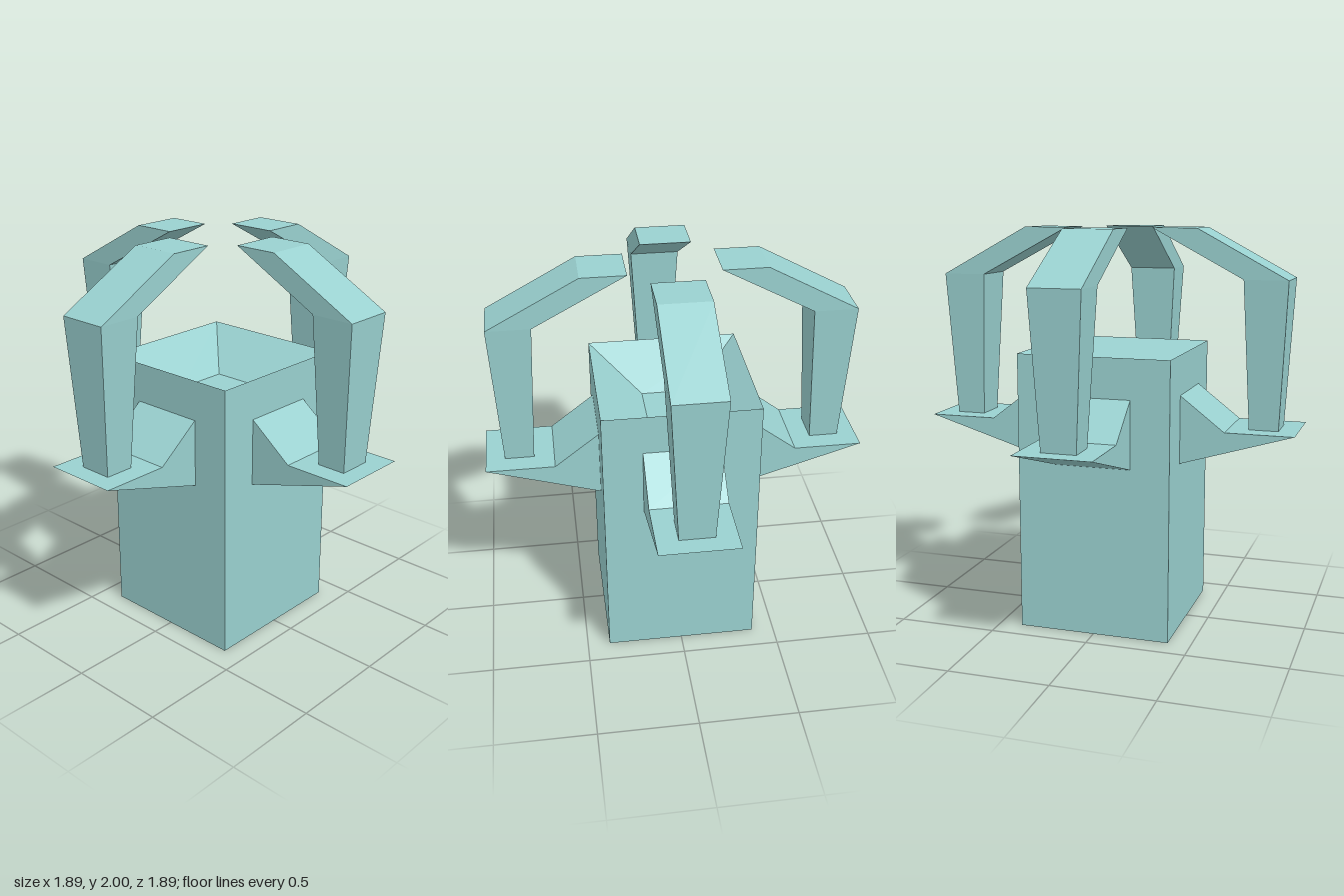
import * as THREE from 'three';

const material = new THREE.MeshStandardMaterial({ color: 0x99d0cf, flatShading: true });

// Closed loft through horizontal rectangles [y, xMin, xMax, halfDepth]
function loft(sections) {
  const rings = sections.map(([y, x0, x1, h]) => [[x0, y, h], [x1, y, h], [x1, y, -h], [x0, y, -h]]);
  const positions = [];
  const quad = (a, b, c, d) => positions.push(...a, ...b, ...c, ...a, ...c, ...d);
  const first = rings[0];
  const last = rings[rings.length - 1];
  quad(first[3], first[2], first[1], first[0]);
  for (let r = 0; r < rings.length - 1; r++) {
    for (let i = 0; i < 4; i++) {
      const j = (i + 1) % 4;
      quad(rings[r][i], rings[r][j], rings[r + 1][j], rings[r + 1][i]);
    }
  }
  quad(...last);
  const geometry = new THREE.BufferGeometry();
  geometry.setAttribute('position', new THREE.Float32BufferAttribute(positions, 3));
  geometry.computeVertexNormals();
  return geometry;
}

function addMesh(parent, name, geometry) {
  const mesh = new THREE.Mesh(geometry, material);
  mesh.name = name;
  parent.add(mesh);
}

export function createModel() {
  const model = new THREE.Group();
  model.name = 'clawedPedestal';

  // Square column whose top folds inward into a sloped basin
  addMesh(model, 'columnWithBasin', loft([
    [0, -0.385, 0.385, 0.385],
    [1.4, -0.385, 0.385, 0.385],
    [1.22, -0.135, 0.135, 0.135],
  ]));

  // Pointed bracket profile, extruded across its width
  const profile = new THREE.Shape([
    [0.385, 0.86], [0.945, 1.03], [0.605, 1.03], [0.385, 1.2],
  ].map(([x, y]) => new THREE.Vector2(x, y)));
  const bracket = new THREE.ExtrudeGeometry(profile, { depth: 0.38, bevelEnabled: false });
  bracket.translate(0, 0, -0.19);

  // Claw widens upward, then bends in over the basin
  const claw = loft([
    [1.03, 0.705, 0.85, 0.085],
    [1.76, 0.67, 0.885, 0.125],
    [2, 0.22, 0.44, 0.125],
  ]);

  // One bracket and claw on each side
  ['left', 'back', 'right', 'front'].forEach((side, i) => {
    const arm = new THREE.Group();
    arm.name = `${side}Arm`;
    addMesh(arm, `${side}Bracket`, bracket);
    addMesh(arm, `${side}Claw`, claw);
    arm.rotation.y = i * Math.PI / 2;
    model.add(arm);
  });

  return model;
}
